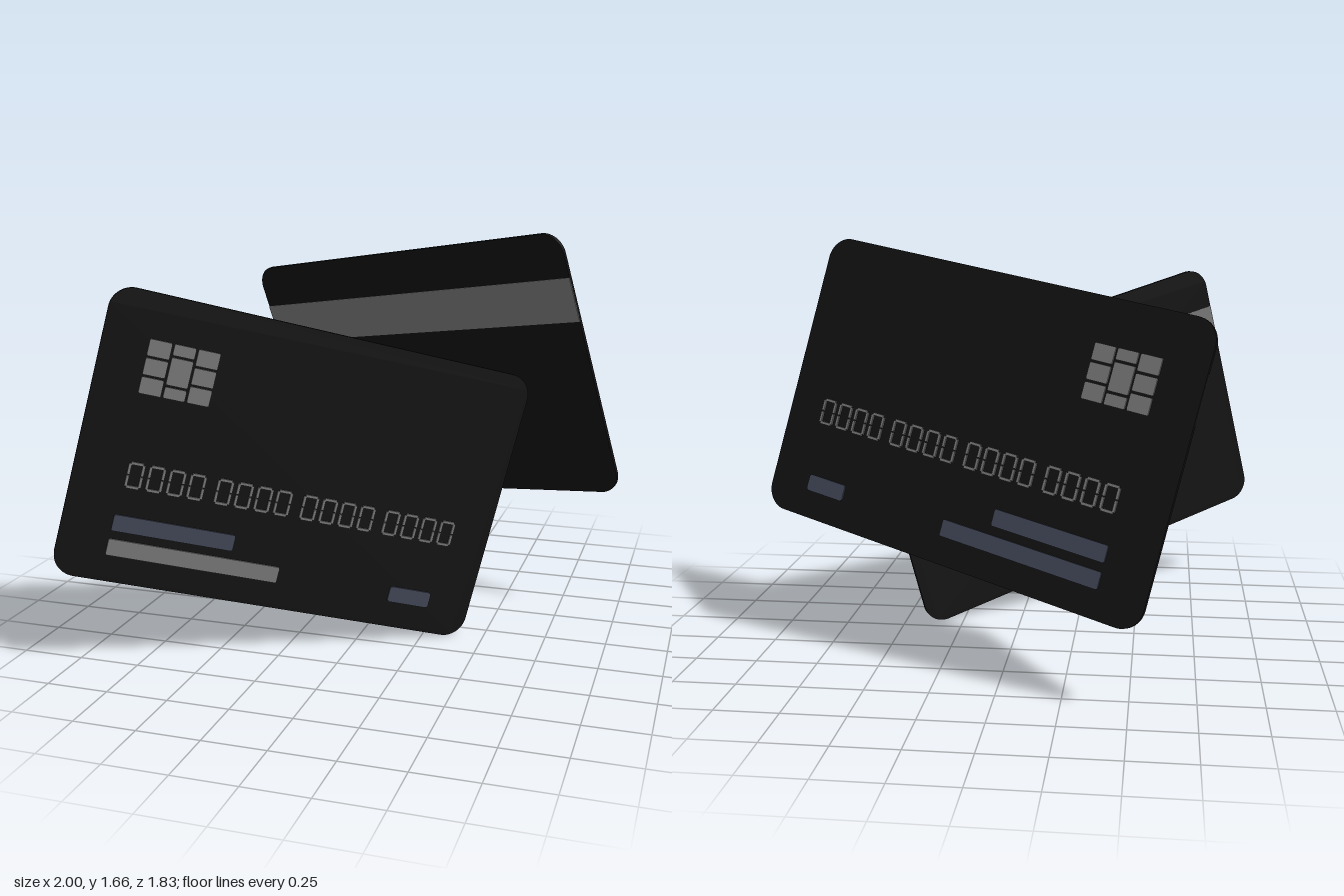
import * as THREE from 'three';

const W = 1.71, H = 1.135, R = 0.09, T = 0.016, RELIEF = 0.008;

const mat = (color) => new THREE.MeshStandardMaterial({ color });
const black = mat(0x111111), silver = mat(0x777777), slate = mat(0x414555);

// Slab with rounded corners, centred on its own origin
function slab(w, h, r, depth) {
  const x = w / 2, y = h / 2, s = new THREE.Shape();
  s.absarc(x - r, y - r, r, 0, Math.PI / 2);
  s.absarc(-x + r, y - r, r, Math.PI / 2, Math.PI);
  s.absarc(-x + r, -y + r, r, Math.PI, Math.PI * 1.5);
  s.absarc(x - r, -y + r, r, Math.PI * 1.5, Math.PI * 2);
  return new THREE.ExtrudeGeometry(s, { depth, bevelEnabled: false, curveSegments: 10 })
    .translate(0, 0, -depth / 2);
}

function add(parent, name, geometry, material, x, y, z) {
  const mesh = new THREE.Mesh(geometry, material);
  mesh.name = name;
  mesh.position.set(x, y, z);
  parent.add(mesh);
}

// face: +1 puts the chip on local +z, -1 on local -z
function buildCard(name, face, lowerBarMaterial) {
  const card = new THREE.Group();
  card.name = name;
  const z = face * (T / 2 + RELIEF / 2 - 0.001);

  add(card, 'cardBody', slab(W, H, R, T), black, 0, 0, 0);
  add(card, 'magneticStripe', new THREE.BoxGeometry(W, 0.185, 0.004), silver, 0, 0.287, -face * T / 2);

  // Chip: three columns of contacts, the middle one with a tall centre
  const chip = new THREE.Group();
  chip.name = 'chip';
  chip.position.set(-0.545, 0.29, z);
  card.add(chip);
  const gap = 0.008;
  const columns = [
    { x: -0.093, w: 0.086, rows: [0.065, 0.065, 0.065] },
    { x: 0, w: 0.084, rows: [0.044, 0.107, 0.044] },
    { x: 0.093, w: 0.086, rows: [0.065, 0.065, 0.065] },
  ];
  for (const { x, w, rows } of columns) {
    let top = 0.1055;
    for (const h of rows) {
      add(chip, 'chipContact', slab(w, h, 0.006, RELIEF), silver, x, top - h / 2, 0);
      top -= h + gap;
    }
  }

  // Card number: four groups of four segmented digits
  const digits = new THREE.Group();
  digits.name = 'cardNumber';
  digits.position.set(0, -0.133, z);
  card.add(digits);
  const dw = 0.064, dh = 0.105, t = 0.011;
  const across = new THREE.BoxGeometry(dw - t - 0.004, t, RELIEF);
  const upright = new THREE.BoxGeometry(t, dh / 2 - t / 2 - 0.004, RELIEF);
  for (let i = 0; i < 16; i++) {
    const x = -0.622 + Math.floor(i / 4) * 0.349 + (i % 4) * 0.08;
    for (const sy of [-1, 1]) {
      add(digits, 'digitCap', across, silver, x, sy * (dh - t) / 2, 0);
      for (const sx of [-1, 1])
        add(digits, 'digitSide', upright, silver, x + sx * (dw - t) / 2, sy * (dh - t) / 4, 0);
    }
  }

  // Plain bars below the number
  add(card, 'upperBar', slab(0.48, 0.066, 0.008, RELIEF), slate, -0.425, -0.329, z);
  add(card, 'lowerBar', slab(0.685, 0.066, 0.008, RELIEF), lowerBarMaterial, -0.323, -0.428, z);
  add(card, 'smallBar', slab(0.18, 0.066, 0.012, RELIEF), slate, 0.584, -0.427, z);
  return card;
}

export function createModel() {
  const model = new THREE.Group();
  model.name = 'cards';

  // Upright card, turned about y and rolled in its own plane
  const front = buildCard('frontCard', 1, silver);
  front.rotation.set(0, THREE.MathUtils.degToRad(31.2), THREE.MathUtils.degToRad(-15), 'YXZ');
  front.position.set(-0.185, 0.752, 0.41);

  // Leaning card with its chip side facing backwards
  const back = buildCard('backCard', -1, slate);
  const u = new THREE.Vector3(0.905, 0.158, 0.4).normalize();
  const n = u.clone().cross(new THREE.Vector3(-0.233, 0.959, 0.161)).normalize();
  const v = n.clone().cross(u);
  back.quaternion.setFromRotationMatrix(new THREE.Matrix4().makeBasis(u, v, n));
  back.position.set(0.105, 1.0, -0.488);

  model.add(front, back);
  return model;
}
